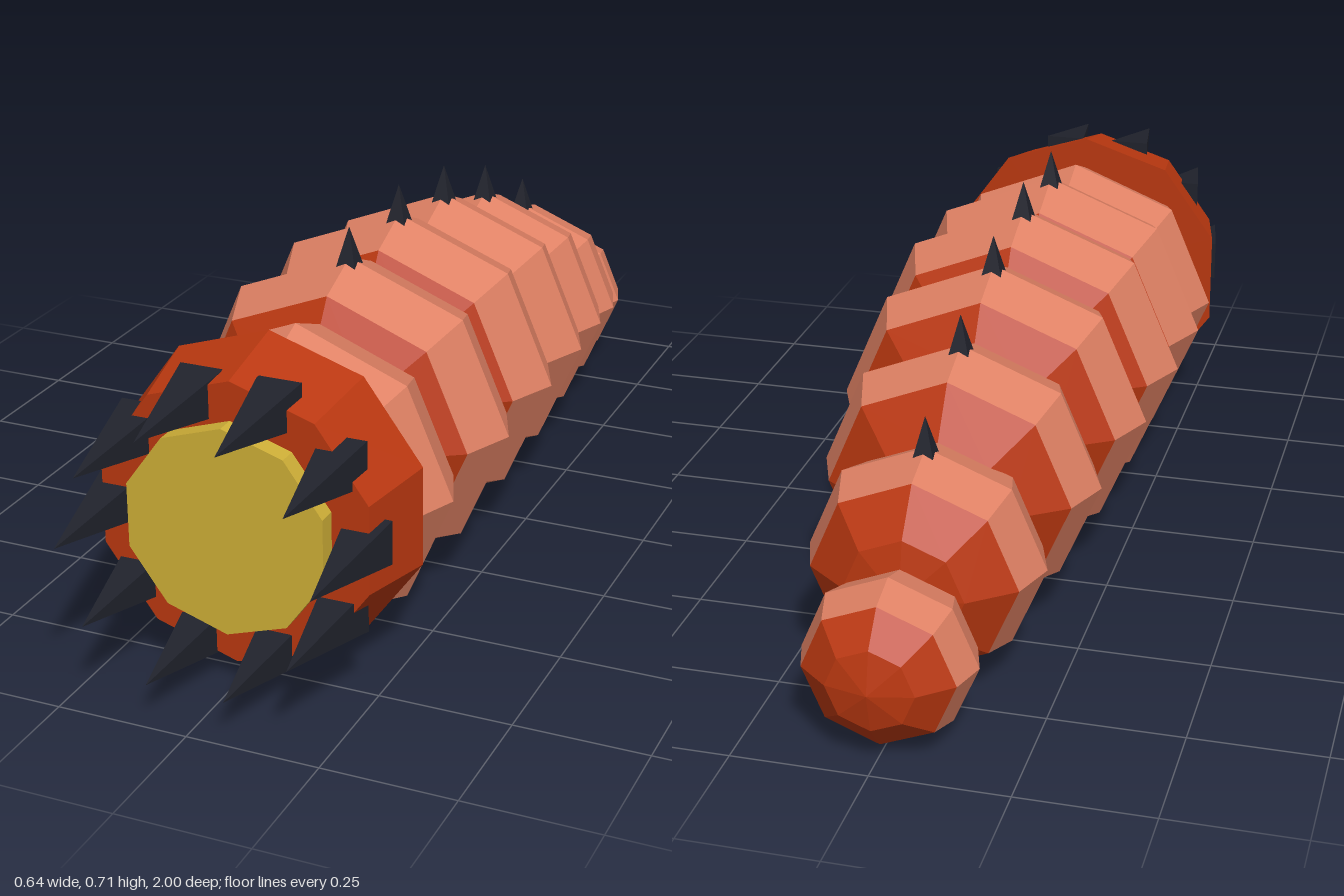
import * as THREE from 'three';

const flat = (name, color) => {
  const m = new THREE.MeshStandardMaterial({ color, flatShading: true });
  m.name = name;
  return m;
};

export function createModel() {
  const red = flat('rust red', 0xbb3810);
  const pale = flat('salmon', 0xde8063);
  const yellow = flat('mouth yellow', 0xcfaf37);
  const dark = flat('spike black', 0x20222c);

  const model = new THREE.Group();
  model.name = 'segmentedWorm';

  const add = (parent, name, geometry, material, x = 0, y = 0, z = 0) => {
    const mesh = new THREE.Mesh(geometry, material);
    mesh.name = name;
    mesh.position.set(x, y, z);
    parent.add(mesh);
    return mesh;
  };

  // Part of an eight-sided ellipsoid with its poles along z, between two polar angles
  const slice = (from, to, rx, ry, rz) =>
    new THREE.SphereGeometry(1, 8, 2, 0, Math.PI * 2, from * Math.PI / 180, (to - from) * Math.PI / 180)
      .rotateX(Math.PI / 2)
      .scale(rx, ry, rz);

  // Square pyramid, upright, sides aligned with the axes
  const pyramid = (width, height) =>
    new THREE.ConeGeometry(width * Math.SQRT1_2, height, 4).rotateY(Math.PI / 4);

  // Body segments: [z, centre y, half width, half height, half length, has spike]
  const segments = [
    [0.54, 0.30, 0.305, 0.295, 0.203, false],
    [0.305, 0.33, 0.322, 0.31, 0.203, true],
    [0.07, 0.34, 0.322, 0.31, 0.2, true],
    [-0.163, 0.325, 0.304, 0.294, 0.195, true],
    [-0.398, 0.29, 0.268, 0.26, 0.187, true],
    [-0.632, 0.235, 0.222, 0.215, 0.175, true],
    [-0.865, 0.16, 0.16, 0.155, 0.135, false],
  ];
  const backSpike = pyramid(0.045, 0.09);
  segments.forEach(([z, y, rx, ry, rz, spiked], i) => {
    const segment = new THREE.Group();
    segment.name = `bodySegment${i + 1}`;
    segment.position.set(0, y, z);
    add(segment, 'paleBand', slice(60, 120, rx, ry, rz), pale);
    add(segment, 'frontRedCap', slice(0, 60, rx, ry, rz), red);
    add(segment, 'rearRedCap', slice(120, 180, rx, ry, rz), red);
    if (spiked) add(segment, 'backSpike', backSpike, dark, 0, ry + 0.016, 0);
    model.add(segment);
  });

  // Head collar tapering to the front, with the mouth disc on it
  const headY = 0.316;
  const head = new THREE.Group();
  head.name = 'head';
  head.position.y = headY;
  model.add(head);
  add(head, 'headCollar', new THREE.CylinderGeometry(0.27, 0.305, 0.157, 10).rotateX(Math.PI / 2), red, 0, 0, 0.7235);
  add(head, 'mouthDisc', new THREE.CylinderGeometry(0.197, 0.197, 0.06, 10).rotateX(Math.PI / 2), yellow, 0, 0, 0.808);

  // Ring of ten forward-pointing teeth
  const tooth = pyramid(0.083, 0.243).rotateX(Math.PI / 2);
  for (let i = 0; i < 10; i++) {
    const a = i * Math.PI / 5;
    add(head, `tooth${i + 1}`, tooth, dark, Math.cos(a) * 0.239, Math.sin(a) * 0.239, 0.8785);
  }

  return model;
}
